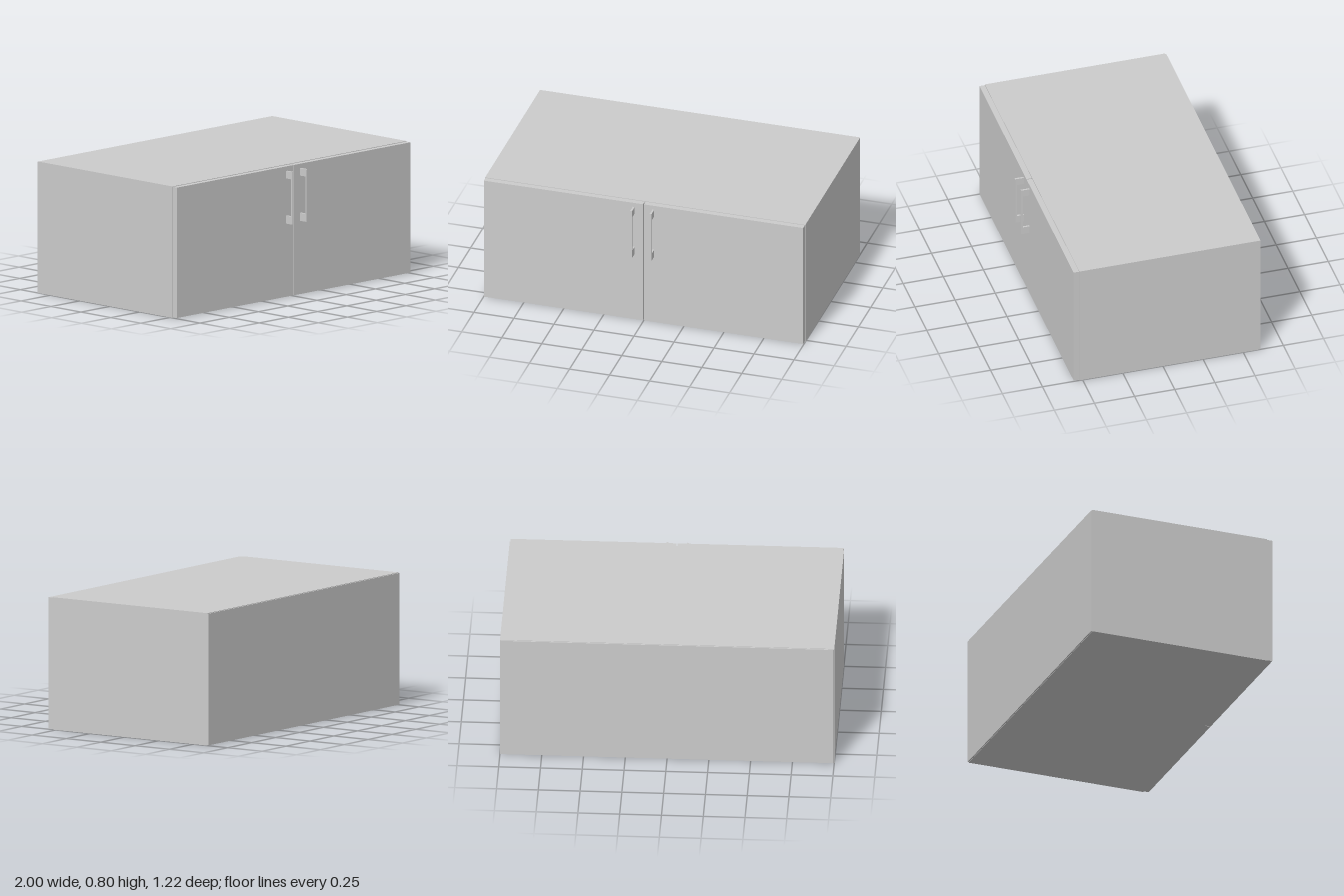
import * as THREE from 'three';

export function createModel() {
  const model = new THREE.Group();
  const material = new THREE.MeshStandardMaterial({ color: 0xcccccc });

  // Box given by its lower and upper limits on each axis
  const box = (name, [x0, x1], [y0, y1], [z0, z1], parent = model) => {
    const mesh = new THREE.Mesh(new THREE.BoxGeometry(x1 - x0, y1 - y0, z1 - z0), material);
    mesh.position.set((x0 + x1) / 2, (y0 + y1) / 2, (z0 + z1) / 2);
    mesh.name = name;
    parent.add(mesh);
  };

  // Carcass panels
  const t = 0.034, depth = [-0.602, 0.52];
  box('leftSide', [1 - t, 1], [0, 0.8], depth);
  box('rightSide', [-1, -1 + t], [0, 0.8], depth);
  box('bottomPanel', [-1 + t, 1 - t], [0, t], depth);
  box('topPanel', [-1 + t, 1 - t], [0.8 - t, 0.8], depth);
  box('backPanel', [-0.997, 0.997], [0.003, 0.797], [-0.609, -0.602]);

  // Pair of doors, each with a bracket handle near the middle
  for (const [side, s] of [['left', 1], ['right', -1]]) {
    const span = (a, b) => (s > 0 ? [a, b] : [-b, -a]);
    box(side + 'Door', span(0.003, 0.997), [0.004, 0.797], [0.521, 0.555]);

    const handle = new THREE.Group();
    handle.name = side + 'Handle';
    model.add(handle);
    const width = span(0.055, 0.067);
    // A single extruded C-shaped outline in the side plane
    const shape = new THREE.Shape([
      [0.555, 0.45], [0.609, 0.45], [0.609, 0.77], [0.555, 0.77],
      [0.555, 0.725], [0.598, 0.725], [0.598, 0.498], [0.555, 0.498],
    ].map(([z, y]) => new THREE.Vector2(-z, y)));
    const geometry = new THREE.ExtrudeGeometry(shape, { depth: 0.012, bevelEnabled: false });
    geometry.rotateY(Math.PI / 2).translate(width[0], 0, 0);
    const grip = new THREE.Mesh(geometry, material);
    grip.name = side + 'Grip';
    handle.add(grip);
  }
  return model;
}
